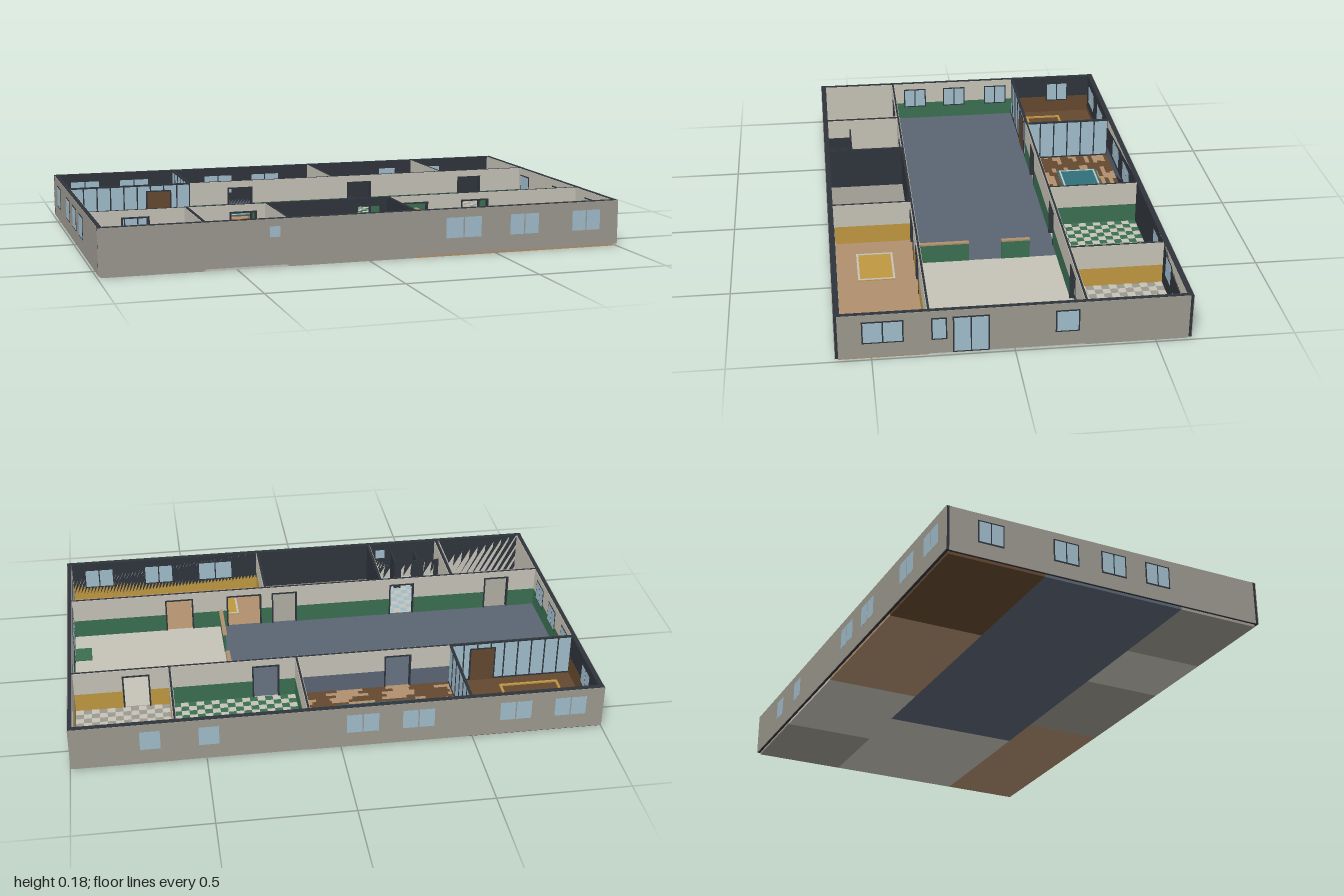
import * as THREE from 'three';
import { mergeGeometries } from 'three/addons/utils/BufferGeometryUtils.js';

const M = {};
for (const [name, color] of Object.entries({
  dark: 0x2f343c, slate: 0x5a6573, beige: 0xc5c2b6, grey: 0x9c988f, tan: 0xb08f6d,
  brown: 0x64482f, green: 0x3a6f51, gold: 0xbf9741, teal: 0x30707a, glass: 0xa0bdcb,
})) {
  M[name] = new THREE.MeshStandardMaterial({ color });
  M[name].name = name;
}

const H = 0.18, FLOOR = 0.01, DOOR_TOP = 0.15, RAIL = 0.085;
const X = 0.9875, Z = 0.615, ZB = -0.25, ZF = 0.3;   // wall centre lines

export function createModel() {
  const root = new THREE.Group();
  root.name = 'officeFloor';

  const geo = (x0, x1, y0, y1, z0, z1) => new THREE.BoxGeometry(x1 - x0, y1 - y0, z1 - z0)
    .translate((x0 + x1) / 2, (y0 + y1) / 2, (z0 + z1) / 2);
  const add = (name, mat, g) => {
    const m = new THREE.Mesh(g, M[mat]);
    m.name = name;
    root.add(m);
    return m;
  };
  const box = (name, mat, ...b) => add(name, mat, geo(...b));
  // slab lying along a wall: axis 'z' runs along x at z = line, axis 'x' runs along z at x = line
  const slab = (name, mat, axis, line, n0, n1, a, b, y0, y1) => axis === 'z'
    ? box(name, mat, a, b, y0, y1, line + n0, line + n1)
    : box(name, mat, line + n0, line + n1, y0, y1, a, b);

  // doorways: [axis, line, centre, width]
  const doors = [
    ['z', ZB, -0.28, 0.1], ['z', ZB, 0.24, 0.1], ['z', ZB, 0.74, 0.1],
    ['z', ZF, -0.81, 0.1], ['z', ZF, -0.4, 0.1], ['z', ZF, 0.1, 0.1],
    ['z', ZF, 0.27, 0.14], ['z', ZF, 0.54, 0.11],
  ];
  // one layer of a wall, interrupted by its doorways
  const layer = (name, mat, axis, line, n0, n1, a, b, y0, y1) => {
    let s = a;
    const cuts = doors.filter(d => d[0] === axis && d[1] === line && d[2] > a && d[2] < b)
      .sort((p, q) => p[2] - q[2]);
    for (const [, , c, w] of cuts) {
      slab(name, mat, axis, line, n0, n1, s, c - w / 2, y0, y1);
      if (y1 > DOOR_TOP) slab(name, mat, axis, line, n0, n1, c - w / 2, c + w / 2, DOOR_TOP, y1);
      s = c + w / 2;
    }
    slab(name, mat, axis, line, n0, n1, s, b, y0, y1);
  };
  const half = line => (Math.abs(line) > 0.61 && (Math.abs(line) === X || Math.abs(line) === Z) ? 0.008 : 0.004);
  const paint = (axis, line, dir, a, b, lower, upper) => {
    const h = half(line), n = dir > 0 ? [h, h + 0.002] : [-h - 0.002, -h];
    layer('wallPaint', upper, axis, line, ...n, a, b, lower ? RAIL : FLOOR, H - 0.001);
    if (lower) layer('wainscot', lower, axis, line, ...n, a, b, FLOOR, RAIL);
  };

  // outer walls with cladding
  for (const s of [-1, 1]) {
    slab('outerWall', 'dark', 'z', s * Z, -0.01, 0.01, -0.997, 0.997, FLOOR, H);
    slab('outerWall', 'dark', 'x', s * X, -0.008, 0.008, -Z, Z, FLOOR, H);
    box('cladding', 'grey', -0.998, 0.998, FLOOR, H - 0.001, s * 0.626 - 0.001, s * 0.626 + 0.001);
    slab('cladding', 'grey', 'x', s * X, s > 0 ? 0.008 : -0.01, s > 0 ? 0.01 : -0.008, -Z, Z, FLOOR, H - 0.001);
  }
  // inner walls
  layer('innerWall', 'dark', 'z', ZB, -0.004, 0.004, -0.49, X, FLOOR, H);
  layer('innerWall', 'dark', 'z', ZF, -0.004, 0.004, -X, X, FLOOR, H);
  for (const x of [0.12, 0.61]) slab('innerWall', 'dark', 'x', x, -0.004, 0.004, -Z, ZB, FLOOR, H);
  for (const x of [-0.615, -0.31, 0.18]) slab('innerWall', 'dark', 'x', x, -0.004, 0.004, ZF, Z, FLOOR, H);

  // door frames
  for (const [axis, line, c, w] of doors) {
    for (const s of [-1, 1]) {
      const e = c + s * w / 2;
      slab('doorFrame', 'dark', axis, line, -0.0085, 0.0085, e - 0.003, e + 0.003, FLOOR, DOOR_TOP);
    }
    slab('doorFrame', 'dark', axis, line, -0.0085, 0.0085, c - w / 2 - 0.003, c + w / 2 + 0.003, DOOR_TOP - 0.003, DOOR_TOP + 0.003);
  }

  // rooms: x0, x1, z0, z1, floor, wainscot, wall colour, painted sides (back, front, left, right)
  const rooms = [
    [-X, -0.49, -Z, ZB, 'brown', 'brown', 'dark', 'bl'],
    [-0.49, 0.12, -Z, ZB, 'tan', 'slate', 'beige', 'bfr'],
    [0.12, 0.61, -Z, ZB, 'beige', 'green', 'beige', 'bflr'],
    [0.61, X, -Z, ZB, 'grey', 'gold', 'beige', 'bflr'],
    [-X, 0.37, ZB, ZF, 'slate', 'green', 'beige', 'fl'],
    [0.37, X, ZB, ZF, 'beige', 'green', 'beige', 'fr'],
    [-X, -0.615, ZF, Z, 'grey', null, 'beige', 'bflr'],
    [-0.615, -0.31, ZF, Z, 'beige', null, 'beige', 'bflr'],
    [-0.31, 0.18, ZF, Z, 'grey', null, 'dark', 'bflr'],
    [0.18, X, ZF, Z, 'tan', 'gold', 'beige', 'bflr'],
  ];
  for (const [x0, x1, z0, z1, floor, low, up, sides] of rooms) {
    box('floor', floor, x0, x1, 0, FLOOR, z0, z1);
    if (sides.includes('b')) paint('z', z0, 1, x0, x1, low, up);
    if (sides.includes('f')) paint('z', z1, -1, x0, x1, low, up);
    if (sides.includes('l')) paint('x', x0, 1, z0, z1, low, up);
    if (sides.includes('r')) paint('x', x1, -1, z0, z1, low, up);
  }
  paint('z', ZB, 1, -0.49, X, 'green', 'beige');

  // windows and entrance: glass over a dark frame, seen on both faces of the wall
  const pane = (name, axis, line, c, w, y0, y1, n) => {
    slab(name + 'Frame', 'dark', axis, line, -0.0115, 0.0115, c - w / 2, c + w / 2, y0, y1);
    const f = 0.005, pw = (w - f * (n + 1)) / n;
    for (let i = 0; i < n; i++) {
      const a = c - w / 2 + f + i * (pw + f);
      slab(name + 'Glass', 'glass', axis, line, -0.0125, 0.0125, a, a + pw, y0 + f, y1 - f);
    }
  };
  const win = (axis, line, c, w, n = 2) => pane('window', axis, line, c, w, 0.065, 0.152, n);
  pane('smallWindow', 'z', Z, -0.362, 0.05, 0.108, 0.157, 1);
  for (const [c, w] of [[0.365, 0.15], [0.61, 0.125], [0.865, 0.125]]) win('z', Z, c, w);
  for (const c of [-0.87, -0.66, -0.29, -0.08]) win('z', -Z, c, 0.13);
  for (const c of [0.49, 0.705]) win('z', -Z, c, 0.085, 1);
  win('x', X, 0.46, 0.145);
  win('x', X, 0.265, 0.055, 1);
  win('x', X, -0.183, 0.085, 1);
  pane('entrance', 'x', X, 0.154, 0.128, FLOOR, 0.153, 2);
  for (const c of [-0.46, -0.17, 0.02, 0.2]) win('x', -X, c, 0.1);

  // glazed walls of the corner office
  const glazed = (axis, line, a, b, n) => {
    slab('glassWall', 'glass', axis, line, -0.002, 0.002, a, b, FLOOR, H - 0.006);
    slab('topRail', 'dark', axis, line, -0.005, 0.005, a, b, H - 0.006, H);
    slab('bottomRail', 'dark', axis, line, -0.005, 0.005, a, b, FLOOR, FLOOR + 0.005);
    for (let i = 0; i <= n; i++) {
      const p = a + (b - a) * i / n;
      slab('mullion', 'dark', axis, line, -0.004, 0.004, p - 0.0025, p + 0.0025, FLOOR, H - 0.006);
    }
  };
  glazed('z', ZB, -X + 0.008, -0.49, 9);
  glazed('x', -0.49, -Z + 0.01, ZB, 6);
  slab('officeDoorFrame', 'dark', 'z', ZB, -0.006, 0.006, -0.672, -0.568, FLOOR, 0.155);
  slab('officeDoor', 'brown', 'z', ZB, -0.008, 0.008, -0.666, -0.574, FLOOR, 0.15);

  // low partition between hall and entry
  for (const [a, b] of [[-0.14, -0.03], [0.095, ZF - 0.006]]) {
    box('partition', 'green', 0.364, 0.372, FLOOR, 0.085, a, b);
    box('partitionCap', 'tan', 0.36, 0.376, 0.085, 0.091, a, b);
  }

  // floor patterns, one flat merged sheet each
  const tile = (x0, x1, z0, z1) => new THREE.PlaneGeometry(x1 - x0, z1 - z0).rotateX(-Math.PI / 2)
    .translate((x0 + x1) / 2, FLOOR + 0.0015, (z0 + z1) / 2);
  const checker = (mat, x0, x1, z0, z1, nx, nz) => {
    const parts = [], dx = (x1 - x0) / nx, dz = (z1 - z0) / nz;
    for (let i = 0; i < nx; i++) for (let j = i % 2; j < nz; j += 2) {
      parts.push(tile(x0 + i * dx, x0 + (i + 1) * dx, z0 + j * dz, z0 + (j + 1) * dz));
    }
    add('floorTiles', mat, mergeGeometries(parts));
  };
  checker('green', 0.126, 0.604, -0.605, -0.256, 16, 12);
  checker('beige', 0.616, 0.977, -0.605, -0.256, 12, 12);
  checker('glass', -0.609, -0.316, 0.306, 0.605, 10, 10);

  let seed = 7;
  const rnd = () => (seed = (seed * 16807) % 2147483647) / 2147483647;
  const planks = [];
  for (let r = 0; r < 20; r++) {
    const z = -0.605 + r * 0.01745;
    for (let x = -0.484 + (rnd() < 0.5 ? 0 : 0.08 * rnd()); x < 0.1;) {
      const e = Math.min(x + 0.05 + 0.12 * rnd(), 0.114);
      planks.push(tile(x, e, z, z + 0.01745));
      x = e + 0.04 + 0.1 * rnd();
    }
  }
  add('floorPlanks', 'brown', mergeGeometries(planks));

  // rugs, borders and mat
  const border = (mat, x0, x1, z0, z1, t) => {
    const y = [FLOOR, FLOOR + 0.006];
    for (const x of [x0, x1 - t]) box('rugBorder', mat, x, x + t, ...y, z0, z1);
    for (const z of [z0, z1 - t]) box('rugBorder', mat, x0 + t, x1 - t, ...y, z, z + t);
  };
  const rug = (mat, x0, x1, z0, z1) => box('rug', mat, x0, x1, FLOOR, FLOOR + 0.004, z0, z1);
  border('gold', -0.915, -0.68, -0.462, -0.308, 0.009);
  rug('teal', -0.35, -0.02, -0.53, -0.362);
  border('beige', -0.342, -0.028, -0.522, -0.37, 0.007);
  rug('gold', 0.285, 0.483, 0.385, 0.525);
  border('beige', 0.285, 0.483, 0.385, 0.525, 0.008);
  rug('teal', 0.805, 0.952, 0.382, 0.562);
  border('beige', 0.811, 0.946, 0.389, 0.555, 0.007);
  rug('green', 0.91, 0.977, 0.103, 0.193);

  // washroom stalls
  for (const x of [-0.513, -0.413]) box('stallSide', 'dark', x - 0.003, x + 0.003, FLOOR, 0.14, 0.51, 0.606);
  for (const [a, b] of [[-0.61, -0.585], [-0.54, -0.486], [-0.44, -0.41]]) {
    box('stallFront', 'dark', a, b, FLOOR, 0.14, 0.508, 0.514);
  }
  return root;
}
